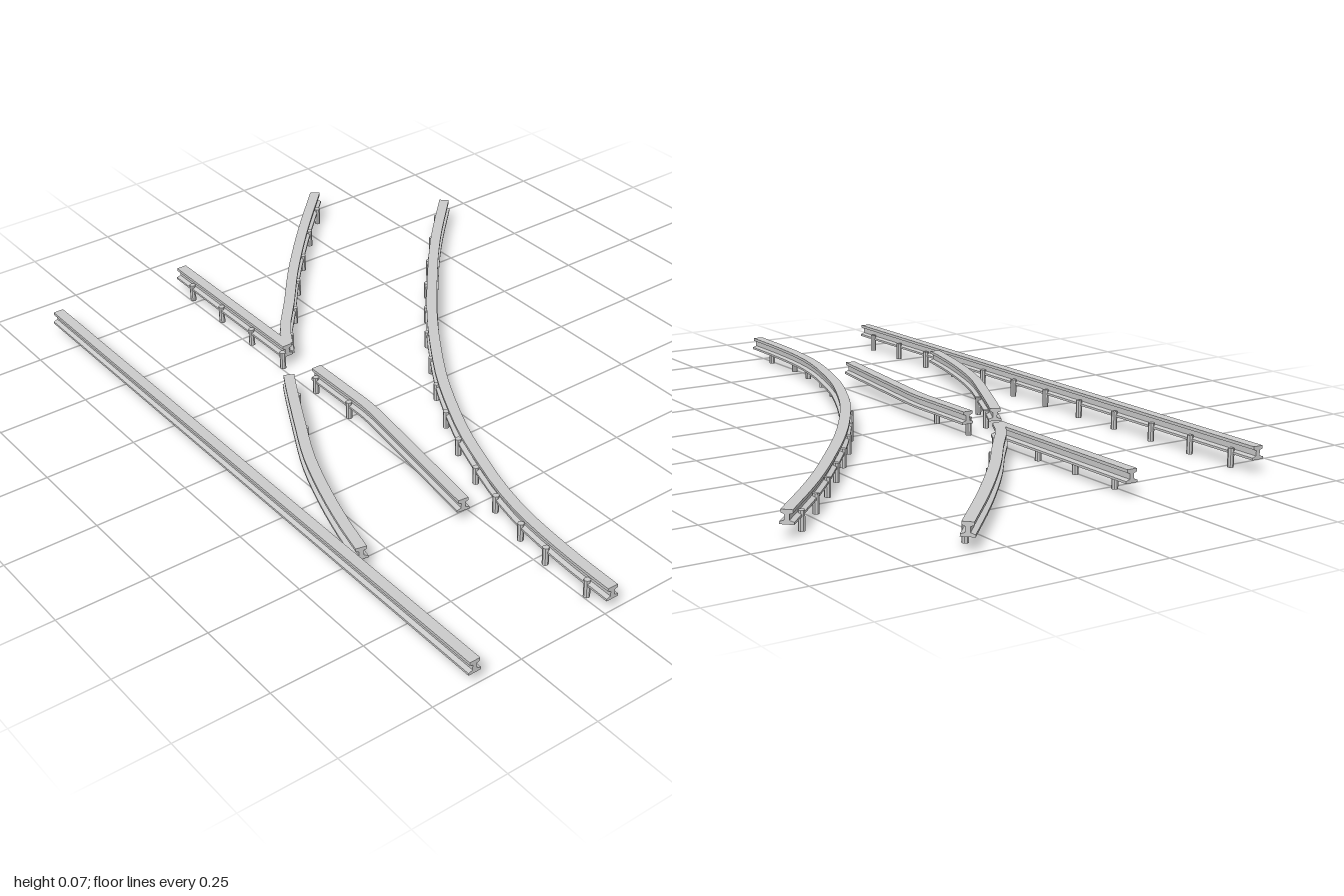
import * as THREE from 'three';

const material = new THREE.MeshStandardMaterial({ color: 0xcccccc, flatShading: true });

// I-shaped rail section: [half width, height], right side from foot to head
const HALF_SECTION = [
  [0.0175, 0.035], [0.0175, 0.041], [0.006, 0.045],
  [0.006, 0.059], [0.0145, 0.062], [0.0145, 0.07],
];

function railSection() {
  const right = HALF_SECTION.map(([x, y]) => new THREE.Vector2(x, y));
  const left = HALF_SECTION.map(([x, y]) => new THREE.Vector2(-x, y)).reverse();
  return new THREE.Shape([...right, ...left]);
}

// Extrude the section, then bend it along a path of [x, z] points
function railGeometry(points, steps) {
  const curve = new THREE.CatmullRomCurve3(points.map(([x, z]) => new THREE.Vector3(x, 0, z)));
  const geometry = new THREE.ExtrudeGeometry(railSection(), { depth: 1, steps, bevelEnabled: false });
  const pos = geometry.attributes.position;
  for (let i = 0; i < pos.count; i++) {
    const t = THREE.MathUtils.clamp(pos.getZ(i), 0, 1);
    const p = curve.getPointAt(t);
    const dir = curve.getTangentAt(t);
    const side = pos.getX(i);
    pos.setXYZ(i, p.x + dir.z * side, pos.getY(i), p.z - dir.x * side);
  }
  geometry.computeVertexNormals();
  return geometry;
}

const pegGeometry = new THREE.CylinderGeometry(0.0085, 0.0085, 0.05, 8).translate(0, 0.025, 0);

// One rail with its supporting pegs
function makeRail(name, points, steps, pegs) {
  const group = new THREE.Group();
  group.name = name;
  const rail = new THREE.Mesh(railGeometry(points, steps), material);
  rail.name = name + 'Beam';
  group.add(rail);
  for (const [x, z] of pegs) {
    const peg = new THREE.Mesh(pegGeometry, material);
    peg.name = 'peg';
    peg.position.set(x, 0, z);
    group.add(peg);
  }
  return group;
}

export function createModel() {
  const model = new THREE.Group();
  model.name = 'railSwitch';

  // Straight outer rail, pegs evenly spaced on its inner side
  const outerPegs = [];
  for (let i = 0; i < 12; i++) outerPegs.push([-0.617, -0.767 + i * 0.1537]);
  model.add(makeRail('straightOuterRail', [[-0.634, 1], [-0.634, -0.845]], 1, outerPegs));

  // Straight rail behind the crossing
  const innerPegs = [-0.767, -0.613, -0.46, -0.307].map((z) => [-0.243, z]);
  model.add(makeRail('straightInnerRail', [[-0.23, -0.302], [-0.23, -0.845]], 1, innerPegs));

  // Diverging rail behind the crossing
  model.add(makeRail('divergingInnerRail',
    [[-0.222, -0.312], [-0.184, -0.379], [-0.094, -0.49], [0.002, -0.613],
      [0.098, -0.725], [0.2, -0.837], [0.346, -0.988]], 16,
    [[-0.172, -0.371], [-0.082, -0.482], [0.013, -0.604],
      [0.108, -0.715], [0.21, -0.827], [0.31, -0.927]]));

  // Long curved outer rail
  model.add(makeRail('curvedOuterRail',
    [[-0.23, 1], [-0.226, 0.85], [-0.211, 0.676], [-0.187, 0.555], [-0.15, 0.433],
      [-0.108, 0.313], [-0.056, 0.198], [0.004, 0.081], [0.073, -0.03], [0.147, -0.14],
      [0.226, -0.246], [0.311, -0.351], [0.395, -0.452], [0.487, -0.554], [0.633, -0.702]], 32,
    [[-0.241, 0.927], [-0.238, 0.779], [-0.225, 0.673], [-0.201, 0.551], [-0.164, 0.429],
      [-0.122, 0.307], [-0.069, 0.191], [-0.008, 0.074], [0.061, -0.037], [0.135, -0.148],
      [0.215, -0.254], [0.299, -0.36], [0.384, -0.461], [0.477, -0.564], [0.572, -0.662]]));

  // Curved switch blade
  model.add(makeRail('curvedBlade',
    [[-0.596, 0.535], [-0.573, 0.437], [-0.535, 0.307], [-0.481, 0.159],
      [-0.412, 0.018], [-0.342, -0.119], [-0.31, -0.178]], 16,
    [[-0.4, 0.026], [-0.329, -0.111]]));

  // Straight switch blade with a slight kink
  model.add(makeRail('straightBlade',
    [[-0.29, 0.535], [-0.268, 0.368], [-0.246, 0.2], [-0.233, 0.1],
      [-0.23, 0.06], [-0.23, -0.05], [-0.23, -0.165]], 16,
    [[-0.243, 0], [-0.243, -0.15]]));

  return model;
}
